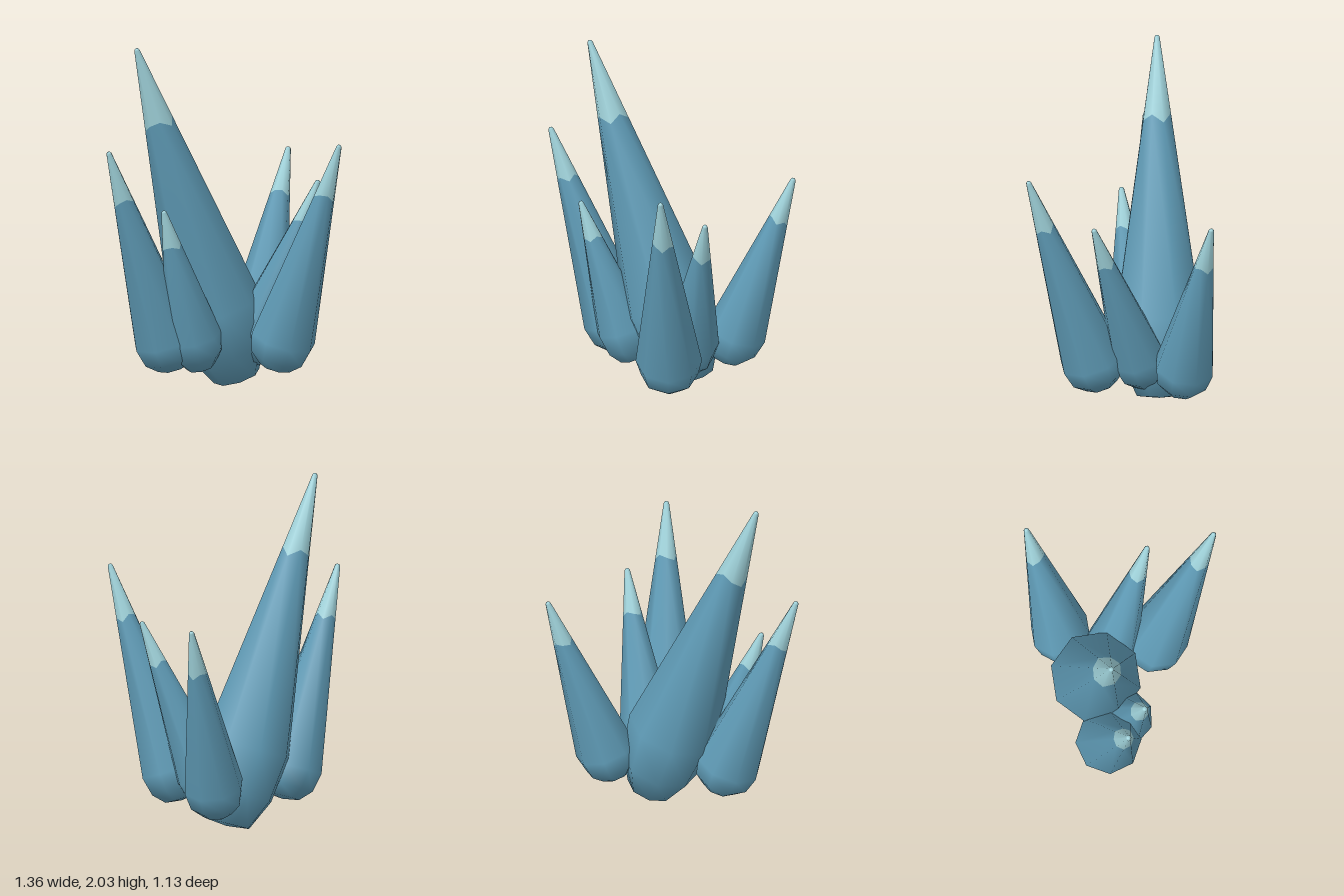
import * as THREE from 'three';

const SIDES = 8;
const TIP_R = 0.016;
const TIP_START = 0.775; // share of the length where the pale tip begins
const JAG = [0.012, -0.01, 0.008, -0.014, 0.01, 0.0, -0.012, 0.006];

// Base point, apex, shoulder radius, shoulder height along the axis, twist
const CRYSTALS = [
  { name: 'mainCrystal', base: [0.04, 0, -0.015], apex: [-0.52, 2, 0.37], r: 0.268, h: 0.47, twist: 0.2 },
  { name: 'rightCrystal', base: [-0.31, 0.1, 0.235], apex: [-0.67, 1.42, 0.55], r: 0.193, h: 0.19, twist: 0.5 },
  { name: 'frontCrystal', base: [-0.15, 0.1, 0.26], apex: [-0.352, 1.07, 0.508], r: 0.162, h: 0.21, twist: 0.1 },
  { name: 'leftCrystal', base: [0.275, 0.105, 0.23], apex: [0.67, 1.465, 0.48], r: 0.193, h: 0.19, twist: 0.3 },
  { name: 'sideCrystal', base: [0.1, 0.11, 0.03], apex: [0.522, 1.195, 0.122], r: 0.162, h: 0.2, twist: 0.4 },
  { name: 'backCrystal', base: [0.11, 0.11, -0.205], apex: [0.3, 1.275, -0.553], r: 0.178, h: 0.19, twist: 0.2 },
];

// Slides one ring of a lathe up and down the taper for an uneven colour edge
function jagRing(geo, row, rows, length, slope) {
  const p = geo.attributes.position;
  for (let i = 0; i <= SIDES; i++) {
    const k = i * rows + row;
    const dy = JAG[i % SIDES] * length;
    const x = p.getX(k), z = p.getZ(k), r = Math.hypot(x, z);
    const s = (r + slope * dy) / r;
    p.setXYZ(k, x * s, p.getY(k) + dy, z * s);
  }
}

function makeCrystal({ name, base, apex, r, h, twist }, bodyMat, tipMat) {
  const start = new THREE.Vector3(...base);
  const axis = new THREE.Vector3(...apex).sub(start);
  const length = axis.length();
  const slope = (TIP_R - r) / (length - 0.012 - h);
  const edgeY = length * TIP_START;
  const edgeR = r + slope * (edgeY - h);
  const v = (x, y) => new THREE.Vector2(x, y);

  // Blunt root, shoulder and long straight taper
  const bodyProfile = [v(0, 0), v(r * 0.52, 0.015), v(r * 0.86, h * 0.42), v(r, h), v(edgeR, edgeY)];
  // Pale end with a small rounded point
  const tipProfile = [v(edgeR, edgeY), v(TIP_R, length - 0.012), v(TIP_R * 0.6, length - 0.002), v(0, length)];

  const bodyGeo = new THREE.LatheGeometry(bodyProfile, SIDES);
  const tipGeo = new THREE.LatheGeometry(tipProfile, SIDES);
  jagRing(bodyGeo, bodyProfile.length - 1, bodyProfile.length, length, slope);
  jagRing(tipGeo, 0, tipProfile.length, length, slope);

  const crystal = new THREE.Group();
  crystal.name = name;
  for (const [part, geo, mat] of [['Body', bodyGeo, bodyMat], ['Tip', tipGeo, tipMat]]) {
    geo.rotateY(twist);
    const mesh = new THREE.Mesh(geo, mat);
    mesh.name = name + part;
    crystal.add(mesh);
  }
  crystal.position.copy(start);
  crystal.quaternion.setFromUnitVectors(new THREE.Vector3(0, 1, 0), axis.normalize());
  return crystal;
}

export function createModel() {
  const bodyMat = new THREE.MeshStandardMaterial({ color: 0x5f9bb6 });
  bodyMat.name = 'crystal blue';
  const tipMat = new THREE.MeshStandardMaterial({ color: 0xa0d3db });
  tipMat.name = 'pale tip blue';

  const model = new THREE.Group();
  model.name = 'crystalCluster';
  for (const c of CRYSTALS) model.add(makeCrystal(c, bodyMat, tipMat));
  return model;
}
